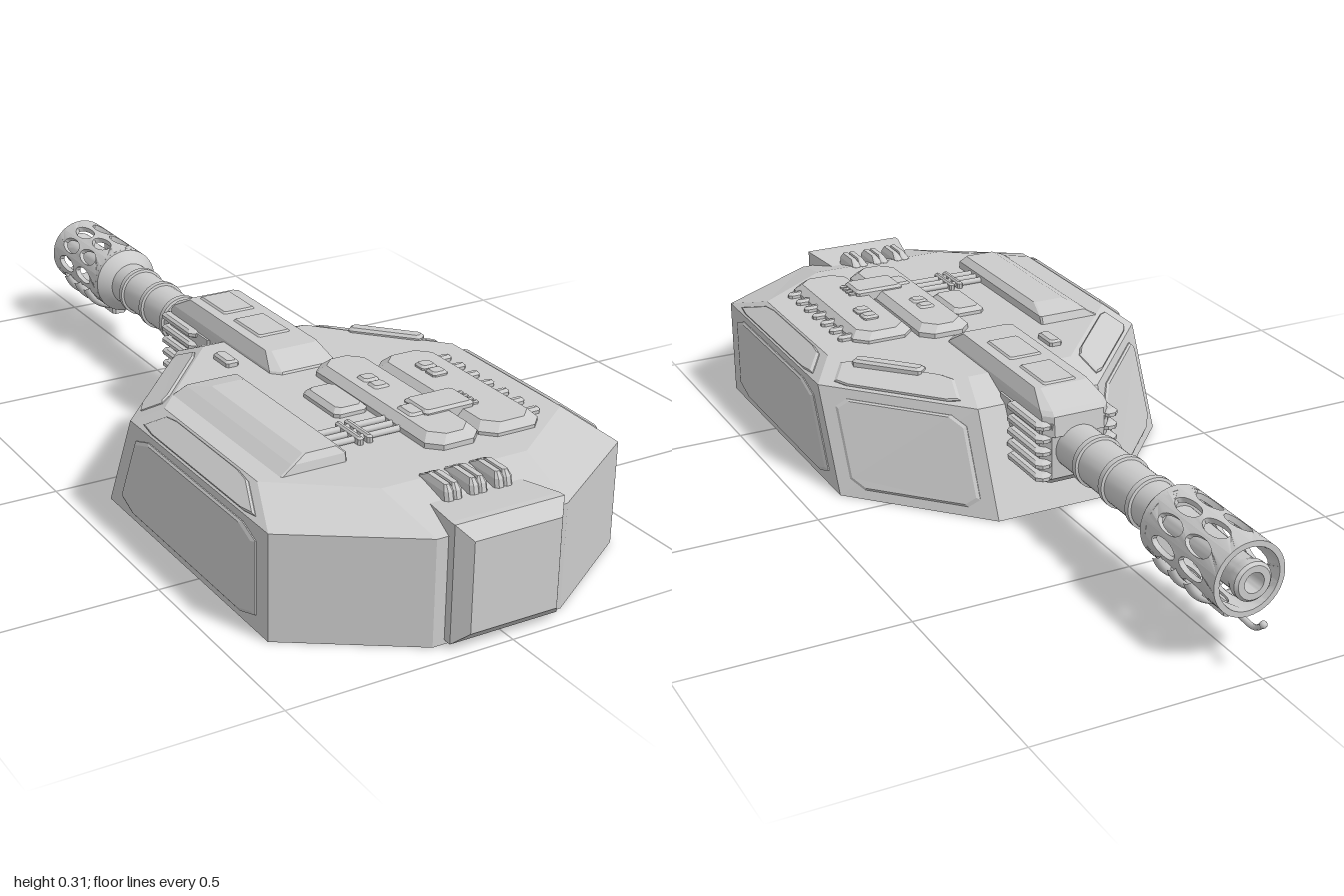
import * as THREE from 'three';
import { toCreasedNormals } from 'three/addons/utils/BufferGeometryUtils.js';

const material = new THREE.MeshStandardMaterial({ color: 0xcccccc });
const GUN_Y = 0.185;

// Closed flat-faced solid through rings of points, counter-clockwise seen from the last ring.
function loft(rings) {
  const pos = [];
  const tri = (...pts) => pts.forEach((p) => pos.push(p.x, p.y, p.z));
  const n = rings[0].length;
  for (let i = 0; i < rings.length - 1; i++) {
    for (let j = 0; j < n; j++) {
      const k = (j + 1) % n;
      tri(rings[i][j], rings[i][k], rings[i + 1][k]);
      tri(rings[i][j], rings[i + 1][k], rings[i + 1][j]);
    }
  }
  const first = rings[0], last = rings[rings.length - 1];
  for (let j = 1; j < n - 1; j++) {
    tri(last[0], last[j], last[j + 1]);
    tri(first[0], first[j + 1], first[j]);
  }
  const g = new THREE.BufferGeometry();
  g.setAttribute('position', new THREE.Float32BufferAttribute(pos, 3));
  g.computeVertexNormals();
  return g;
}

// Left-right symmetric ring at height y from [x, z] points of the +x half.
const hullRing = (y, half) => [
  ...half.map(([x, z]) => new THREE.Vector3(x, y, z)),
  ...half.slice().reverse().map(([x, z]) => new THREE.Vector3(-x, y, z)),
];

// Rectangle ring with cut corners.
function rectRing(y, x0, x1, z0, z1, c) {
  return [[x0 + c, z1], [x1 - c, z1], [x1, z1 - c], [x1, z0 + c],
    [x1 - c, z0], [x0 + c, z0], [x0, z0 + c], [x0, z1 - c]]
    .map(([x, z]) => new THREE.Vector3(x, y, z));
}

// Box with cut corners and a bevelled top.
function block(x0, x1, z0, z1, y0, y1, b = 0.008, c = b) {
  return loft([
    rectRing(y0, x0, x1, z0, z1, c),
    rectRing(y1 - b, x0, x1, z0, z1, c),
    rectRing(y1, x0 + b, x1 - b, z0 + b, z1 - b, c),
  ]);
}

// Thin bevelled plate standing proud of a face.
function plate(face, scale, thick) {
  const mid = face.reduce((s, p) => s.add(p), new THREE.Vector3()).divideScalar(face.length);
  const normal = face[1].clone().sub(face[0]).cross(face[2].clone().sub(face[0])).normalize();
  const pts = [];
  face.forEach((p, i) => {
    const prev = face[(i + 3) % 4], next = face[(i + 1) % 4];
    pts.push(p.clone().lerp(prev, 0.1), p.clone().lerp(next, 0.1));
  });
  const ring = (s, h) => pts.map((p) => mid.clone().lerp(p, s).addScaledVector(normal, h));
  return loft([ring(scale, -0.003), ring(scale, thick * 0.4), ring(scale - 0.04, thick)]);
}

// Profile [radius, distance forward] turned about the gun axis.
function turned(profile) {
  const g = new THREE.LatheGeometry(profile.map(([r, d]) => new THREE.Vector2(r, d)), 32);
  g.rotateX(-Math.PI / 2).translate(0, GUN_Y, 0);
  return toCreasedNormals(g, 0.5);
}

// One curved strip of the muzzle brake with two oval ports.
function brakeStrip(angle, count) {
  const R = 0.08, t = 0.012, w = (2 * Math.PI * R) / count, v0 = 0.68, v1 = 0.94;
  const s = new THREE.Shape();
  s.moveTo(-w / 2, v0);
  for (let i = 1; i <= 4; i++) s.lineTo(-w / 2 + (w * i) / 4, v0);
  for (let i = 0; i <= 4; i++) s.lineTo(w / 2 - (w * i) / 4, v1);
  for (const v of [0.757, 0.857]) {
    s.holes.push(new THREE.Path().absellipse(0, v, 0.019, 0.042, 0, Math.PI * 2, true));
  }
  const g = new THREE.ExtrudeGeometry(s, { depth: t, bevelEnabled: false, curveSegments: 12 });
  const p = g.attributes.position;
  for (let i = 0; i < p.count; i++) {
    const a = angle - p.getX(i) / R, r = R - t + p.getZ(i);
    p.setXYZ(i, r * Math.cos(a), GUN_Y + r * Math.sin(a), -p.getY(i));
  }
  return toCreasedNormals(g, 0.6);
}

export function createModel() {
  const model = new THREE.Group();
  const add = (name, geometry, parent = model) => {
    const m = new THREE.Mesh(geometry, material);
    m.name = name;
    parent.add(m);
    return m;
  };

  // Faceted hull
  const bottom = hullRing(0, [[0.15, 0.95], [0.41, 0.78], [0.41, 0.09], [0.15, -0.19]]);
  const rim = hullRing(0.23, [[0.15, 0.95], [0.41, 0.78], [0.41, 0.2], [0.15, -0.09]]);
  const deck = hullRing(0.27, [[0.17, 0.79], [0.36, 0.65], [0.36, 0.26], [0.13, 0.0]]);
  add('hull', loft([bottom, rim, deck]));

  // Raised armour plates on both sides
  const quad = (lo, hi, i) => [lo[i], lo[i + 1], hi[i + 1], hi[i]];
  for (const i of [1, 5]) {
    add('sidePlate', plate(quad(bottom, rim, i), 0.86, 0.006));
    add('upperSidePlate', plate(quad(rim, deck, i), 0.84, 0.006));
  }
  for (const i of [2, 4]) {
    add('frontCheekPlate', plate(quad(bottom, rim, i), 0.82, 0.006));
    add('upperCheekPlate', plate(quad(rim, deck, i), 0.8, 0.006));
  }

  // Rear stowage box
  const boxRing = (z, x, y0, y1) => [[-x, y0], [x, y0], [x, y1], [-x, y1]]
    .map(([a, b]) => new THREE.Vector3(a, b, z));
  add('rearBox', loft([boxRing(0.83, 0.1, 0.02, 0.25), boxRing(0.955, 0.125, 0.01, 0.262),
    boxRing(0.97, 0.125, 0.01, 0.262), boxRing(1, 0.1, 0.04, 0.235)]));

  // Exhaust scoops in front of the rear box
  for (const x of [-0.058, 0, 0.058]) {
    for (const s of [-1, 1]) {
      const c = x + s * 0.009;
      add('exhaustScoop', loft([rectRing(0.25, c - 0.011, c + 0.011, 0.76, 0.875, 0.006),
        rectRing(0.272, c - 0.011, c + 0.011, 0.775, 0.87, 0.006),
        rectRing(0.284, c - 0.006, c + 0.006, 0.8, 0.86, 0.003)]));
    }
  }

  // Wedge-shaped cover on the right of the deck
  add('deckCover', loft([rectRing(0.262, -0.325, -0.163, 0.2, 0.66, 0.004),
    rectRing(0.288, -0.285, -0.163, 0.21, 0.655, 0.004),
    rectRing(0.302, -0.255, -0.178, 0.27, 0.645, 0.004)]));

  // Deck boxes
  add('longBox', block(0, 0.127, 0.24, 0.71, 0.26, 0.297, 0.016, 0.028));
  add('shortBox', block(0.13, 0.277, 0.28, 0.71, 0.26, 0.293, 0.016, 0.028));
  add('smallBox', block(-0.08, 0, 0.34, 0.48, 0.26, 0.288, 0.01));
  add('sightBlock', block(-0.146, -0.115, 0.07, 0.137, 0.26, 0.284, 0.005));
  add('instrumentBox', block(0.055, 0.175, 0.52, 0.605, 0.28, 0.306, 0.006));
  add('instrumentStep', block(0.025, 0.065, 0.54, 0.595, 0.28, 0.302, 0.005));
  for (let i = 0; i < 4; i++) {
    const z = 0.535 + i * 0.018;
    add('instrumentTooth', block(0.17, 0.19, z, z + 0.01, 0.28, 0.3, 0.003));
  }
  for (const x of [0.057, 0.203]) {
    for (const z of [0.384, 0.425]) {
      add('hatchBlock', block(x - 0.019, x + 0.019, z - 0.018, z + 0.018, 0.28, 0.302, 0.005));
    }
  }

  // Row of lugs beside the boxes
  for (let i = 0; i < 7; i++) {
    const z = 0.33 + i * 0.053;
    add('lug', block(0.262, 0.305, z - 0.01, z + 0.01, 0.26, 0.283, 0.006));
  }

  // Clamped rods across the deck
  for (const z of [0.535, 0.562, 0.589]) {
    add('rod', new THREE.CylinderGeometry(0.007, 0.007, 0.17, 10)
      .rotateZ(Math.PI / 2).translate(-0.08, 0.276, z));
  }
  for (const x of [-0.1, -0.078]) {
    add('rodClamp', block(x - 0.007, x + 0.007, 0.515, 0.61, 0.26, 0.286, 0.004));
  }

  // Slanted strip by the left cheek
  const strip = add('slantedStrip', block(-0.085, 0.085, -0.017, 0.017, 0, 0.02, 0.006));
  strip.position.set(0.262, 0.26, 0.138);
  strip.rotation.y = -0.83;

  // Gun housing and mantlet
  add('gunHousing', loft([rectRing(0.22, -0.08, 0.08, -0.28, 0.23, 0.02),
    rectRing(0.265, -0.08, 0.08, -0.275, 0.23, 0.02),
    rectRing(0.275, -0.079, 0.079, -0.265, 0.225, 0.02),
    rectRing(0.304, -0.064, 0.064, -0.2, 0.17, 0.01)]));
  for (const z of [-0.13, 0.03]) {
    add('housingPanel', block(-0.04, 0.04, z - 0.06, z + 0.06, 0.29, 0.308, 0.004));
  }
  add('mantlet', loft([rectRing(0.085, -0.05, 0.05, -0.225, -0.06, 0.01),
    rectRing(0.115, -0.08, 0.08, -0.265, -0.05, 0.02),
    rectRing(0.25, -0.085, 0.085, -0.275, -0.05, 0.02)]));
  for (const s of [-1, 1]) {
    for (let i = 0; i < 5; i++) {
      const y = 0.115 + i * 0.03;
      add('mantletFin', loft([rectRing(y, s * 0.08 - 0.014, s * 0.08 + 0.014, -0.265, -0.13, 0.01),
        rectRing(y + 0.005, s * 0.08 - 0.02, s * 0.08 + 0.02, -0.278, -0.12, 0.012),
        rectRing(y + 0.013, s * 0.08 - 0.02, s * 0.08 + 0.02, -0.278, -0.12, 0.012),
        rectRing(y + 0.018, s * 0.08 - 0.014, s * 0.08 + 0.014, -0.265, -0.13, 0.01)]));
    }
  }

  // Barrel with collars, widening into the brake around an inner tube
  const profile = [[0.053, 0.2]];
  for (const d of [0.36, 0.47, 0.58]) {
    profile.push([0.053, d - 0.009], [0.059, d - 0.007], [0.059, d + 0.007], [0.053, d + 0.009]);
  }
  profile.push([0.053, 0.64], [0.06, 0.645], [0.08, 0.67], [0.08, 0.69], [0.042, 0.69],
    [0.036, 0.92], [0.042, 0.935], [0.042, 0.95], [0.036, 0.956], [0.022, 0.956], [0.022, 0.84], [0, 0.84]);
  add('barrel', turned(profile));

  const brake = new THREE.Group();
  brake.name = 'muzzleBrake';
  model.add(brake);
  for (let i = 0; i < 10; i++) add('brakeStrip', brakeStrip((i * Math.PI) / 5, 10), brake);

  // Clips, rail and hooked pin below the brake
  for (const z of [-0.735, -0.79, -0.85]) {
    add('brakeClip', new THREE.TorusGeometry(0.084, 0.011, 8, 20, 2.5)
      .rotateZ(Math.PI + 0.32).translate(0, GUN_Y, z), brake);
  }
  add('brakeRail', block(-0.018, 0.018, -0.89, -0.71, 0.082, 0.112, 0.006), brake);
  const pin = new THREE.CatmullRomCurve3([[0.1, -0.87], [0.093, -0.93], [0.094, -0.965], [0.114, -0.994]]
    .map(([y, z]) => new THREE.Vector3(0, y, z)));
  add('hookedPin', new THREE.TubeGeometry(pin, 12, 0.006, 8), brake);
  add('pinHead', new THREE.SphereGeometry(0.008, 10, 8).translate(0, 0.114, -0.992), brake);

  return model;
}
